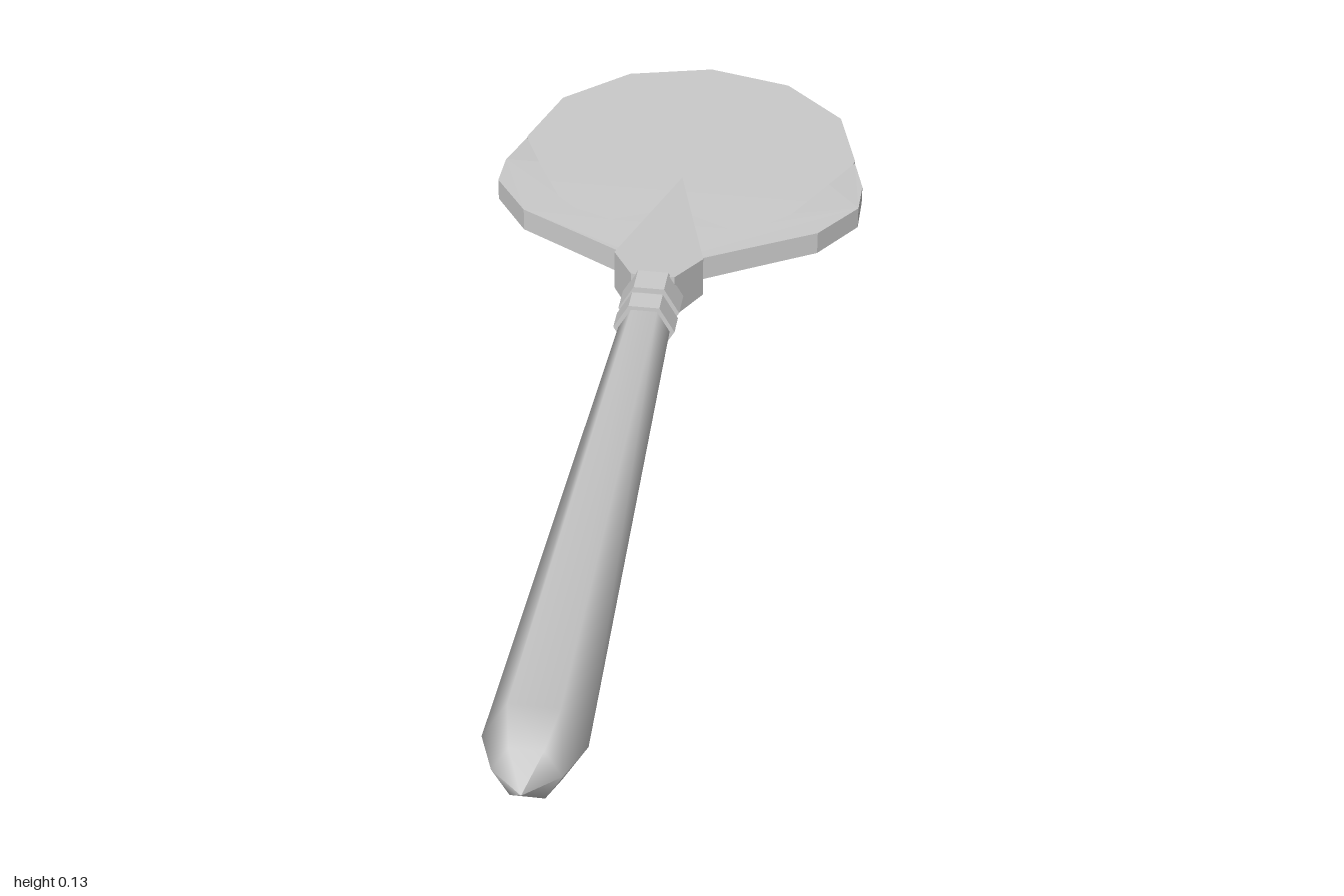
import * as THREE from 'three';

const mat = new THREE.MeshStandardMaterial({ color: 0xcccccc });
const flatMat = new THREE.MeshStandardMaterial({ color: 0xcccccc, flatShading: true });
const lerp = THREE.MathUtils.lerp;
const ramp = (z, z0, z1, a, b) => lerp(a, b, THREE.MathUtils.clamp((z - z0) / (z1 - z0), 0, 1));

function part(name, geometry, material = flatMat) {
  const mesh = new THREE.Mesh(geometry, material);
  mesh.name = name;
  return mesh;
}

// Height of the handle's axis, which sinks slightly towards the neck
const axisY = (z) => ramp(z, -0.14, 0.9, 0.048, 0.067);

// Six-sided turned form along z, from [radius, z] pairs, flat side up
function hexTurned(profile) {
  const pts = profile.map(([r, z]) => new THREE.Vector2(r, z));
  const g = new THREE.LatheGeometry(pts, 6, Math.PI / 6);
  g.rotateX(Math.PI / 2);
  const p = g.attributes.position;
  for (let i = 0; i < p.count; i++) p.setY(i, p.getY(i) + axisY(p.getZ(i)));
  return g;
}

// Flat plate from a right-half [x, z] outline, mirrored, with top and bottom heights along z
function plate(half, bottom, top) {
  const mirrored = half.filter(([x]) => x > 0).reverse().map(([x, z]) => [-x, z]);
  const shape = new THREE.Shape([...half, ...mirrored].map(([x, z]) => new THREE.Vector2(x, -z)));
  const g = new THREE.ExtrudeGeometry(shape, { depth: 1, bevelEnabled: false });
  g.rotateX(-Math.PI / 2);
  const p = g.attributes.position;
  for (let i = 0; i < p.count; i++) {
    const z = p.getZ(i);
    p.setY(i, p.getY(i) > 0.5 ? top(z) : bottom(z));
  }
  g.computeVertexNormals();
  return g;
}

export function createModel() {
  const model = new THREE.Group();
  model.name = 'flatServer';

  // Tapered handle with a pointed end
  model.add(part('handle', hexTurned([
    [0.036, -0.25], [0.042, -0.14], [0.074, 0.89], [0.049, 0.955], [0, 1],
  ]), mat));

  // Two collars at the neck
  for (const [z0, z1] of [[-0.245, -0.195], [-0.18, -0.14]]) {
    model.add(part('collar', hexTurned([[0, z0], [0.05, z0], [0.05, z1], [0, z1]])));
  }

  // Kite-shaped spike lying over the blade
  model.add(part('spike',
    plate([[0, -0.24], [0.036, -0.24], [0.074, -0.31], [0, -0.6]],
      (z) => ramp(z, -0.6, -0.31, 0.022, 0.01),
      (z) => ramp(z, -0.6, -0.24, 0.053, 0.087))));

  // Round blade, thinning to the far edge
  const rim = [];
  for (let i = 0; i <= 6; i++) {
    const a = (i * Math.PI) / 6;
    rim.push([i % 6 ? 0.289 * Math.sin(a) : 0, -0.705 + 0.295 * Math.cos(a)]);
  }
  model.add(part('blade', plate(rim,
    (z) => ramp(z, -1, -0.6, 0.033, 0.027),
    (z) => ramp(z, -1, -0.6, 0.038, 0.051))));

  // Crescent cradle whose horns thin out along the rim
  model.add(part('cradle', plate([
    [0, -0.31], [0.065, -0.335], [0.14, -0.38], [0.25, -0.445], [0.31, -0.535], [0.31, -0.61], [0.289, -0.7],
    [0.252, -0.61], [0.2, -0.5], [0.165, -0.465], [0.1, -0.437], [0.035, -0.47], [0, -0.49],
  ],
  (z) => ramp(z, -0.7, -0.58, 0.031, 0.022),
  (z) => (z > -0.58 ? ramp(z, -0.58, -0.33, 0.059, 0.064) : ramp(z, -0.7, -0.58, 0.047, 0.059)))));

  return model;
}
